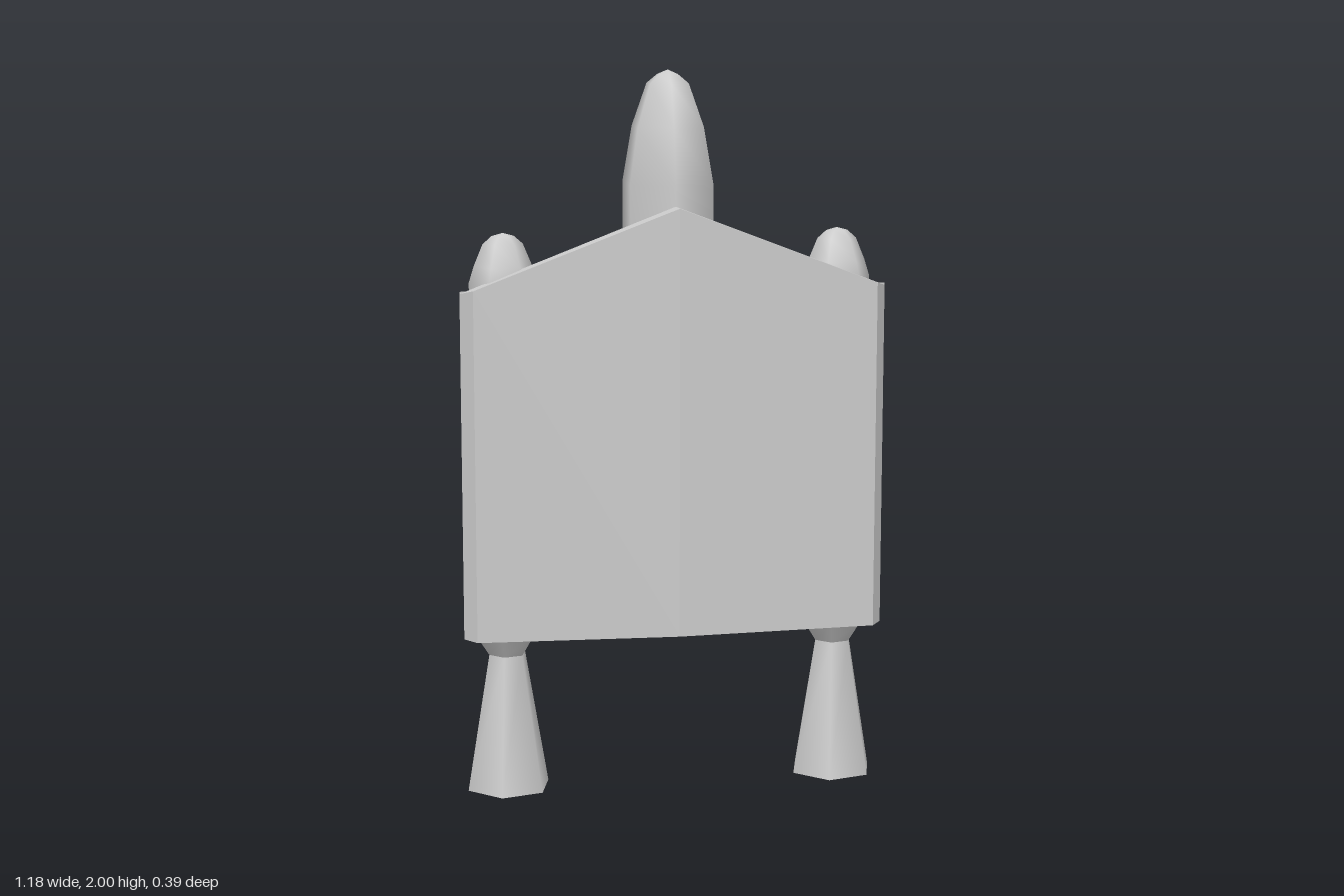
import * as THREE from 'three';

const material = new THREE.MeshStandardMaterial({ color: 0xcccccc });

function addMesh(parent, name, geometry, x = 0, y = 0, z = 0) {
  const mesh = new THREE.Mesh(geometry, material);
  mesh.name = name;
  mesh.position.set(x, y, z);
  parent.add(mesh);
  return mesh;
}

// Upright prism over an [x, z] outline; top and bottom heights follow a rule.
function prism(outline, bottom, top) {
  const shape = new THREE.Shape(outline.map(([x, z]) => new THREE.Vector2(x, -z)));
  const geometry = new THREE.ExtrudeGeometry(shape, { depth: 1, bevelEnabled: false });
  geometry.rotateX(-Math.PI / 2);
  const p = geometry.attributes.position;
  for (let i = 0; i < p.count; i++) {
    const height = p.getY(i) > 0.5 ? top : bottom;
    p.setY(i, height(Math.abs(p.getX(i)), p.getZ(i)));
  }
  geometry.computeVertexNormals();
  return geometry;
}

// Six-sided turned form from [radius, y] points, listed upwards.
function turned(points, start) {
  return new THREE.LatheGeometry(points.map(([r, y]) => new THREE.Vector2(r, y)), 6, start);
}

export function createModel() {
  const model = new THREE.Group();
  model.name = 'jetpack';

  const base = () => 0.445;
  const gable = (x) => 1.635 - 0.385 * x;

  for (const side of [1, -1]) {
    const label = side > 0 ? 'left' : 'right';
    const half = (points) => points.map(([x, z]) => [x * side, z]);

    // Gabled front plate
    addMesh(model, label + 'FrontPlate',
      prism(half([[0, 0.193], [0.56, 0.165], [0.592, 0.118], [0, 0.13]]), base, gable));

    // Core behind the plate, its top sloping down to the back
    addMesh(model, label + 'Core',
      prism(half([[0, 0.13], [0.5, 0.121], [0.36, 0.03], [0.19, 0.02], [0, 0.02]]), base,
        (x, z) => (z > 0.1 ? gable(x) : 1.41)));

    // Back hump with a rising underside
    addMesh(model, label + 'BackHump',
      prism(half([[0, 0.02], [0.19, 0.02], [0.145, -0.105], [0, -0.18]]),
        (x, z) => 0.445 + (0.02 - z) * 0.325, () => 1.41));

    // Side pod with a slanted top
    addMesh(model, label + 'Pod',
      prism(half([[0.36, 0.12], [0.36, 0.03], [0.4, -0.03], [0.555, -0.03], [0.592, 0.118]]), base,
        (x, z) => 1.36 + (z + 0.03) * 0.36));

    // Pod nose
    addMesh(model, label + 'PodNose',
      turned([[0.094, 1.34], [0.094, 1.43], [0.08, 1.475], [0.055, 1.535], [0.03, 1.557], [0, 1.565]],
        Math.PI / 6), 0.467 * side, 0, 0.062);

    // Exhaust nozzle: short collar and flared bell
    const nozzle = new THREE.Group();
    nozzle.name = label + 'Nozzle';
    nozzle.position.set(0.467 * side, 0, 0.062);
    addMesh(nozzle, 'collar',
      new THREE.CylinderGeometry(0.092, 0.053, 0.06, 6, 1, false, Math.PI / 4), 0, 0.415, 0);
    addMesh(nozzle, 'bell',
      new THREE.CylinderGeometry(0.053, 0.121, 0.39, 6, 1, false, Math.PI / 4), 0, 0.195, 0);
    model.add(nozzle);
  }

  // Central rocket
  addMesh(model, 'centralRocket',
    turned([[0.134, 1.38], [0.134, 1.69], [0.106, 1.845], [0.062, 1.963], [0.03, 1.988], [0, 2]], 0));

  // Spine rail on the back
  addMesh(model, 'spine',
    prism([[0.058, -0.1], [0.058, -0.195], [-0.058, -0.195], [-0.058, -0.1]],
      (x, z) => 0.565 - z * 0.08, (x, z) => 1.517 + z * 0.21));

  return model;
}
